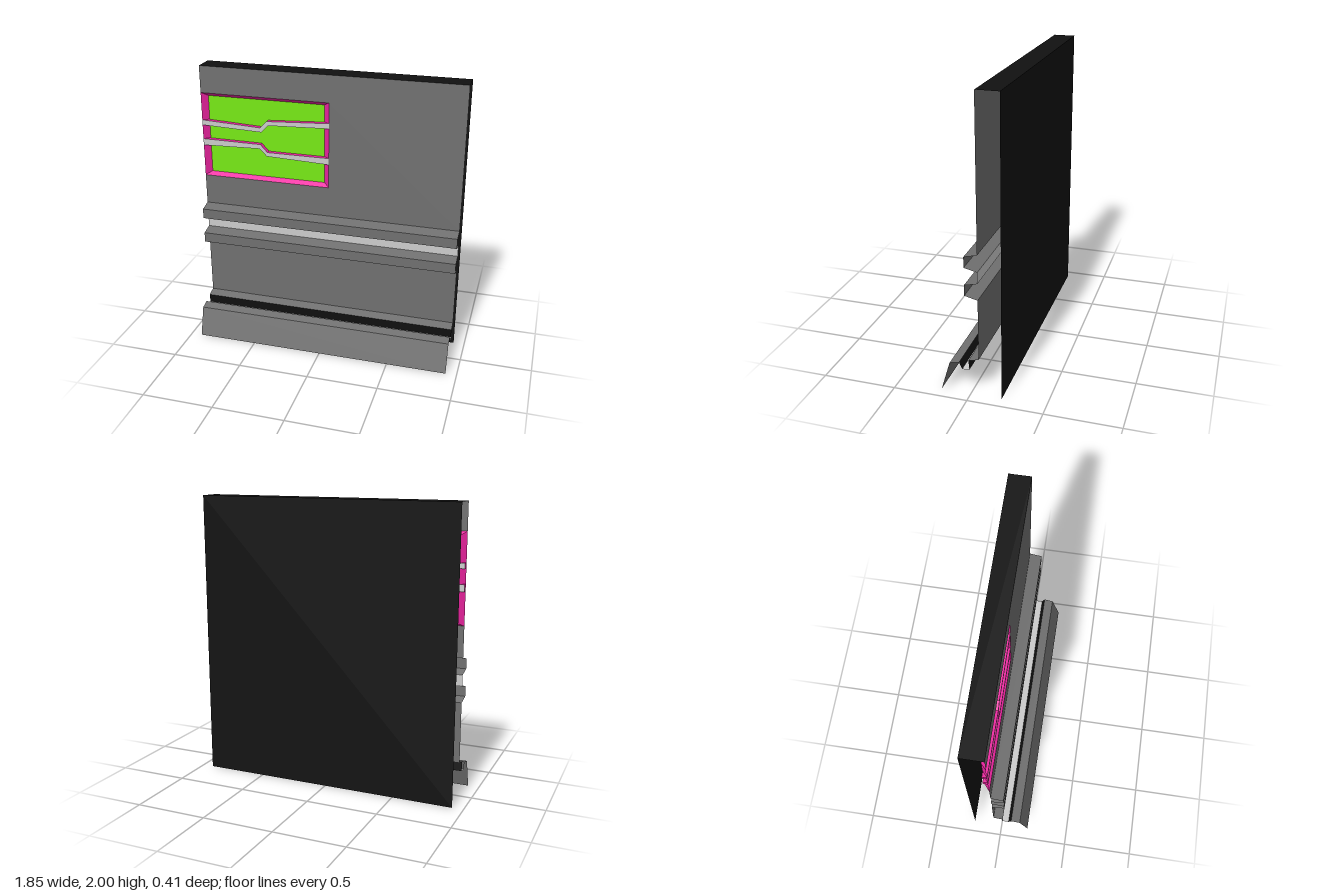
import * as THREE from 'three';

const HALF = 0.923; // half width
const WALL = -0.057, PANE = -0.093, BACK = -0.208; // depths

const material = (color) =>
  new THREE.MeshStandardMaterial({ color, side: THREE.DoubleSide, flatShading: true });

// Builds a mesh from quads, corners counter-clockwise as seen from the front
function quadMesh(name, quads, mat) {
  const pos = [];
  for (const [a, b, c, d] of quads) pos.push(...a, ...b, ...c, ...a, ...c, ...d);
  const geo = new THREE.BufferGeometry();
  geo.setAttribute('position', new THREE.Float32BufferAttribute(pos, 3));
  geo.computeVertexNormals();
  const mesh = new THREE.Mesh(geo, mat);
  mesh.name = name;
  return mesh;
}

// Sweeps a [z, y] profile across the full width, open at both ends
function sheet(name, profile, mat) {
  const quads = [];
  for (let i = 0; i < profile.length - 1; i++) {
    const [z0, y0] = profile[i], [z1, y1] = profile[i + 1];
    quads.push([[-HALF, y0, z0], [-HALF, y1, z1], [HALF, y1, z1], [HALF, y0, z0]]);
  }
  return quadMesh(name, quads, mat);
}

const polygon = (points) => new THREE.Shape(points.map(([x, y]) => new THREE.Vector2(x, y)));

export function createModel() {
  const model = new THREE.Group();
  const grey = material(0x707070), pale = material(0xcccccc), black = material(0x111111);
  const green = material(0x77e913), magenta = material(0xee24a2);

  // Back panel folding over the top
  model.add(sheet('backPanel', [[BACK, 0], [BACK, 2], [WALL, 2]], black));

  // Upper wall with a notch for the window at its edge
  const upperWall = new THREE.Mesh(new THREE.ShapeGeometry(polygon([
    [-HALF, 0.985], [HALF, 0.985], [HALF, 2], [-HALF, 2],
    [-HALF, 1.81], [0, 1.81], [0, 1.2], [-HALF, 1.2],
  ])), grey);
  upperWall.name = 'upperWall';
  upperWall.position.z = WALL;
  model.add(upperWall);

  // Two tapered rails with a pale band between them
  for (const [name, top] of [['upperRail', 0.985], ['lowerRail', 0.795]]) {
    model.add(sheet(name, [
      [WALL, top], [0.03, top - 0.02], [0.03, top - 0.092], [WALL, top - 0.113],
    ], grey));
  }
  model.add(sheet('paleBand', [[WALL, 0.872], [WALL, 0.795]], pale));

  // Lower wall running out into the bottom ledge
  model.add(sheet('lowerWall', [[WALL, 0.682], [WALL, 0.262], [0.012, 0.245]], grey));

  // Trough between ledge and skirt
  model.add(sheet('troughBack', [[0.012, 0.245], [0.005, 0.18]], black));
  model.add(sheet('troughFloor', [[0.005, 0.18], [0.055, 0.175]], pale));
  model.add(sheet('troughFront', [[0.055, 0.175], [0.075, 0.222]], black));
  model.add(sheet('skirt', [[0.075, 0.222], [0.14, 0.206], [0.2, 0]], grey));

  // Recessed window: sloping frame and pane
  const win = new THREE.Group();
  win.name = 'window';
  const outer = [[-HALF, 1.2], [0, 1.2], [0, 1.81], [-HALF, 1.81]].map((p) => [...p, WALL]);
  const inner = [[-0.882, 1.222], [-0.04, 1.222], [-0.04, 1.783], [-0.882, 1.783]]
    .map((p) => [...p, PANE]);
  const frame = outer.map((p, i) => {
    const j = (i + 1) % 4;
    return [p, outer[j], inner[j], inner[i]];
  });
  win.add(quadMesh('windowFrame', frame, magenta));
  win.add(quadMesh('windowPane', [inner], green));

  // Kinked bars across the window
  const bars = {
    upperBar: [[-HALF, 1.576], [-0.485, 1.56], [-0.435, 1.613], [0, 1.629],
      [0, 1.666], [-0.445, 1.642], [-0.495, 1.592], [-HALF, 1.613]],
    lowerBar: [[-HALF, 1.427], [-0.5, 1.438], [-0.45, 1.387], [0, 1.37],
      [0, 1.416], [-0.445, 1.416], [-0.495, 1.47], [-HALF, 1.474]],
  };
  for (const [name, points] of Object.entries(bars)) {
    const geo = new THREE.ExtrudeGeometry(polygon(points), { depth: 0.033, bevelEnabled: false });
    const bar = new THREE.Mesh(geo, [pale, magenta]);
    bar.name = name;
    bar.position.z = WALL - 0.033;
    win.add(bar);
  }
  model.add(win);
  return model;
}
